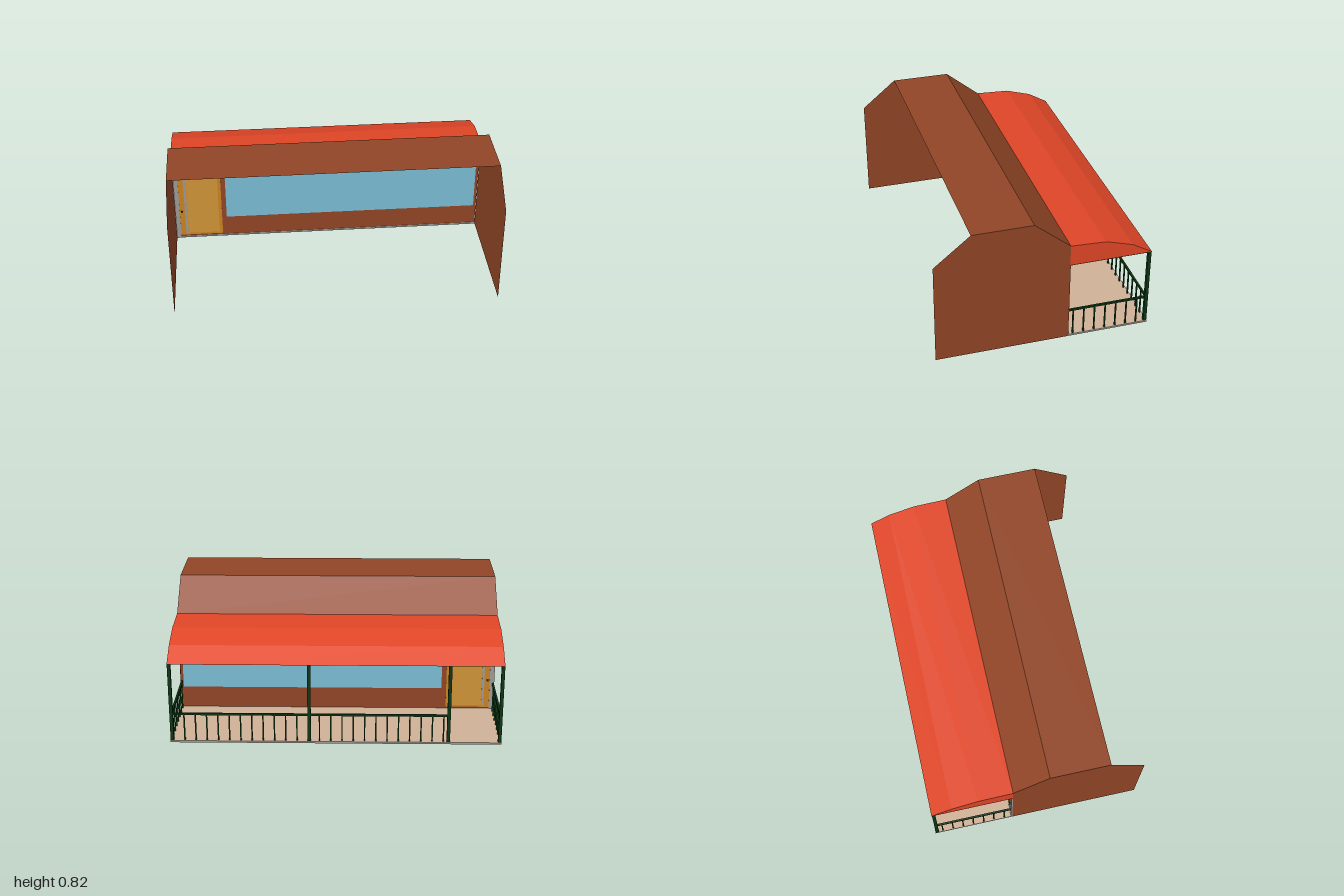
import * as THREE from 'three';

const flat = (color, name) => {
  const m = new THREE.MeshStandardMaterial({ color, side: THREE.DoubleSide });
  m.name = name;
  return m;
};

export function createModel() {
  const brown = flat(0x914526, 'brown timber');
  const red = flat(0xe04627, 'red canopy');
  const blue = flat(0x7abcd3, 'blue glass');
  const amber = flat(0xcb8220, 'amber door');
  const paleAmber = flat(0xcf9437, 'pale amber panel');
  const green = flat(0x0c3513, 'dark green rail');
  const tan = flat(0xcfb196, 'tan decking');
  const grey = flat(0x9d9a96, 'grey trim');

  const model = new THREE.Group();
  const add = (parent, name, geometry, material) => {
    const mesh = new THREE.Mesh(geometry, material);
    mesh.name = name;
    parent.add(mesh);
    return mesh;
  };
  // Box given by its lower and upper corners
  const box = (parent, name, material, x0, x1, y0, y1, z0, z1) => {
    const mesh = add(parent, name, new THREE.BoxGeometry(x1 - x0, y1 - y0, z1 - z0), material);
    mesh.position.set((x0 + x1) / 2, (y0 + y1) / 2, (z0 + z1) / 2);
    return mesh;
  };
  const group = (name) => {
    const g = new THREE.Group();
    g.name = name;
    model.add(g);
    return g;
  };
  // Flat sheet following a [z, y] profile along the full width, front to back
  const sheet = (name, profile, material) => {
    const pos = [];
    for (let i = 0; i < profile.length - 1; i++) {
      const [z0, y0] = profile[i], [z1, y1] = profile[i + 1];
      pos.push(-1, y0, z0, 1, y0, z0, 1, y1, z1, -1, y0, z0, 1, y1, z1, -1, y1, z1);
    }
    const g = new THREE.BufferGeometry();
    g.setAttribute('position', new THREE.Float32BufferAttribute(pos, 3));
    g.computeVertexNormals();
    return add(model, name, g, material);
  };
  // Matching end panels of a [z, y] outline at both ends
  const ends = (name, outline, material) => {
    const shape = new THREE.Shape(outline.map(([z, y]) => new THREE.Vector2(-z, y)));
    for (const side of [-1, 1]) {
      const g = new THREE.ShapeGeometry(shape);
      if (side < 0) g.scale(-1, 1, 1).setIndex([...g.index.array].reverse());
      const mesh = add(model, name, g, material);
      mesh.rotation.y = side * Math.PI / 2;
      mesh.position.x = side;
    }
  };

  // House shell: gable ends and the roof, open at the front
  ends('endWall', [[0.66, 0], [-0.15, 0], [-0.15, 0.645], [0.07, 0.825], [0.44, 0.825], [0.66, 0.645]], brown);
  sheet('roof', [[0.44, 0.825], [0.07, 0.825], [-0.15, 0.645]], brown);

  // Porch canopy with its end panels and ceiling
  const curve = [[-0.15, 0.645], [-0.365, 0.635], [-0.53, 0.585], [-0.655, 0.512]];
  sheet('canopy', curve, red);
  ends('canopyEnd', [[-0.15, 0.512], [-0.655, 0.512], [-0.53, 0.585], [-0.365, 0.635], [-0.15, 0.645]], red);
  sheet('porchCeiling', [[-0.15, 0.51], [-0.655, 0.51]], brown);

  // Dividing wall with a window and a door, seen from both sides
  const wall = group('dividingWall');
  box(wall, 'wallPanel', brown, -0.97, 0.998, 0.01, 0.51, -0.154, -0.148);
  box(wall, 'window', blue, -0.665, 0.98, 0.15, 0.495, -0.156, -0.146);
  box(wall, 'doorFrame', amber, -0.97, -0.695, 0.022, 0.506, -0.156, -0.146);
  box(wall, 'doorPanel', paleAmber, -0.92, -0.715, 0.035, 0.475, -0.157, -0.145);
  box(wall, 'doorTrim', grey, -0.937, -0.922, 0.03, 0.465, -0.158, -0.144);
  box(wall, 'doorKnob', green, -0.962, -0.95, 0.2, 0.212, -0.163, -0.139);
  box(wall, 'cornerPost', grey, -0.999, -0.97, 0, 0.51, -0.159, -0.143);

  // Porch floor: grey edges with tan top and underside
  const floor = add(model, 'porchFloor', new THREE.BoxGeometry(2, 0.012, 0.51), [grey, grey, tan, tan, grey, grey]);
  floor.position.set(0, 0.006, -0.4);

  // Canopy posts along the back edge
  const rail = group('railing');
  for (const x of [0.99, 0.16, -0.68, -0.99])
    box(rail, 'post', green, x - 0.01, x + 0.01, 0, 0.51, -0.652, -0.632);

  // Back handrail and balusters, leaving the entrance open
  const b = 0.004;
  box(rail, 'backHandrail', green, -0.68, 0.99, 0.178, 0.19, -0.648, -0.636);
  for (let i = 0; i < 24; i++) {
    const x = -0.65 + i * 0.068;
    box(rail, 'baluster', green, x - b, x + b, 0, 0.18, -0.642 - b, -0.642 + b);
  }

  // Side handrails and balusters
  for (const side of [-1, 1]) {
    const x = side * 0.99;
    box(rail, 'sideHandrail', green, x - 0.006, x + 0.006, 0.178, 0.19, -0.64, -0.15);
    for (let i = 0; i < 7; i++) {
      const z = (side > 0 ? -0.183 : -0.203) - i * 0.067;
      box(rail, 'baluster', green, x - b, x + b, 0, 0.18, z - b, z + b);
    }
  }
  return model;
}
